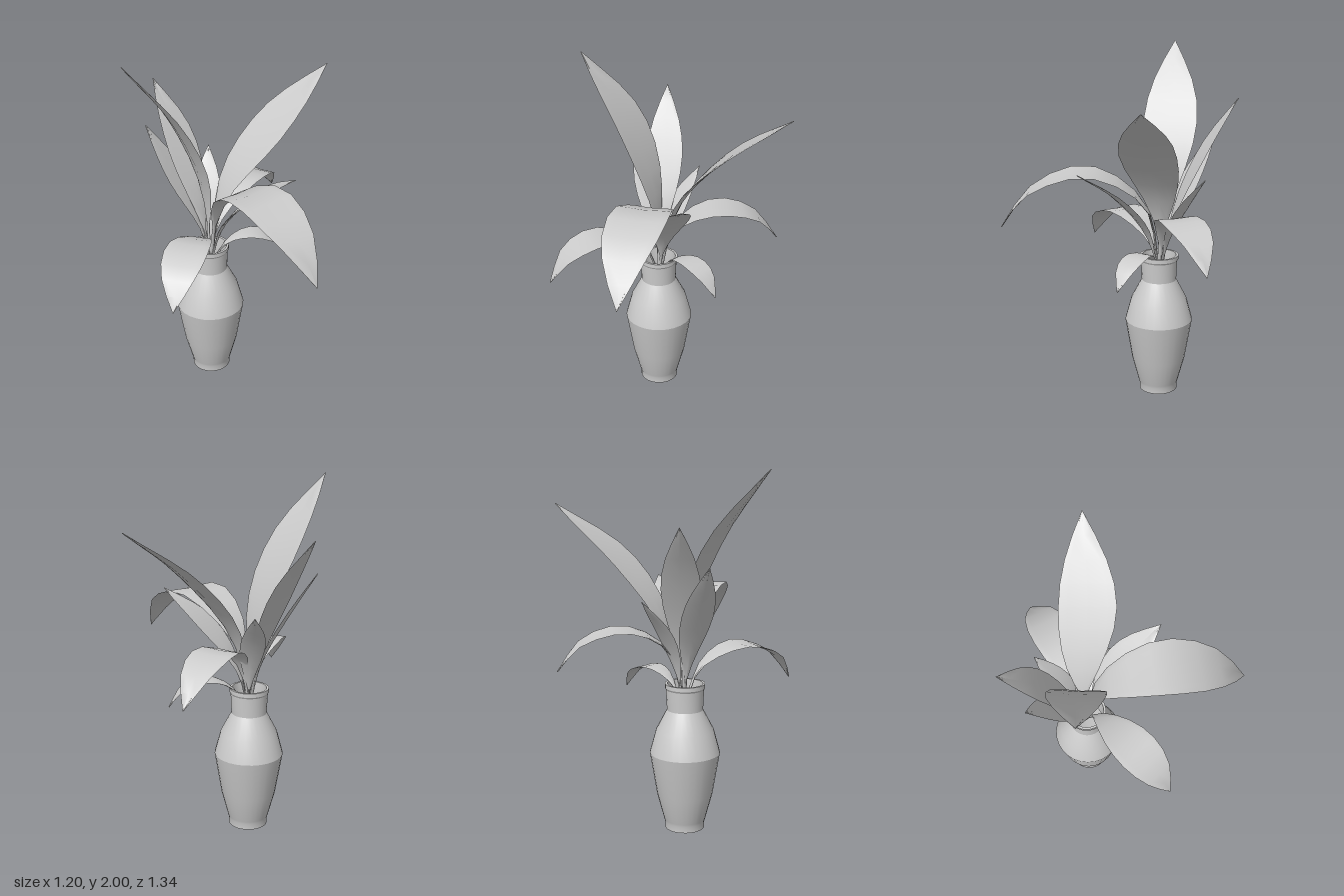
import * as THREE from 'three';
import { toCreasedNormals } from 'three/addons/utils/BufferGeometryUtils.js';

const material = new THREE.MeshStandardMaterial({ color: 0xcccccc });
const ROWS = 11, SIDES = 8;
const STEM = new THREE.Vector3(-0.195, 0.7, 0.01);

// Share of the widest part along a leaf: a slim stem, then a pointed oval blade
function outline(t) {
  const s = Math.max(0, (t - 0.15) / 0.85);
  return Math.max(0.01 + 0.08 * (1 - t), Math.sin(Math.PI * s ** 1.2));
}

// Sweeps a thin, slightly folded oval along a curve, keeping the blade level from side to side
function leafGeometry(curve, halfWidth) {
  const reach = curve.getPoint(1).sub(STEM).setY(0);
  const side = new THREE.Vector3(0, 1, 0).cross(reach).normalize();
  const points = [], index = [];
  for (let i = 0; i <= ROWS; i++) {
    const t = i / ROWS;
    const centre = curve.getPointAt(t);
    const normal = curve.getTangentAt(t).cross(side).normalize();
    const width = halfWidth * outline(t);
    for (let j = 0; j < SIDES; j++) {
      const angle = (j / SIDES) * Math.PI * 2;
      const across = width * Math.cos(angle);
      const lift = 0.007 * (1 - 0.6 * t) * Math.sin(angle) + 0.07 * Math.abs(across);
      points.push(centre.clone().addScaledVector(side, across).addScaledVector(normal, lift));
      if (i < ROWS) {
        const a = i * SIDES + j, b = i * SIDES + (j + 1) % SIDES;
        index.push(a, b, a + SIDES, b, b + SIDES, a + SIDES);
      }
    }
  }
  // Close the stem end and the tip
  const tip = ROWS * SIDES;
  for (let j = 1; j < SIDES - 1; j++) {
    index.push(0, j + 1, j, tip, tip + j, tip + j + 1);
  }
  const geometry = new THREE.BufferGeometry().setFromPoints(points);
  geometry.setIndex(index);
  return toCreasedNormals(geometry, 0.8);
}

// One leaf from the shared stem through the given points to its tip
function makeLeaf(name, halfWidth, ...path) {
  const curve = new THREE.CatmullRomCurve3([STEM, ...path.map(p => new THREE.Vector3(...p))]);
  const leaf = new THREE.Mesh(leafGeometry(curve, halfWidth), material);
  leaf.name = name;
  return leaf;
}

// Recessed foot, outside wall, rim and hollow inside in one turned profile
function makeVase() {
  const profile = [
    [0, 0.025], [0.095, 0.025], [0.1, 0], [0.11, 0], [0.11, 0.035], [0.115, 0.05],
    [0.155, 0.2], [0.195, 0.44], [0.16, 0.57], [0.1, 0.685],
    [0.105, 0.8], [0.111, 0.81], [0.111, 0.833], [0.098, 0.833],
    [0.088, 0.69], [0.17, 0.44], [0.1, 0.06], [0, 0.05],
  ].map(([r, y]) => new THREE.Vector2(r, y));
  const vase = new THREE.Mesh(toCreasedNormals(new THREE.LatheGeometry(profile, 28), 0.42), material);
  vase.name = 'vase';
  vase.position.set(-0.195, 0, 0.015);
  return vase;
}

export function createModel() {
  const model = new THREE.Group();
  model.name = 'plantInVase';

  const upright = new THREE.Group();
  upright.name = 'uprightLeaves';
  upright.add(
    makeLeaf('tallFrontLeaf', 0.155, [-0.22, 1.22, 0.03], [-0.34, 1.62, 0.14], [-0.5, 2, 0.37]),
    makeLeaf('tallBackLeaf', 0.155, [-0.14, 1.15, -0.08], [0.05, 1.49, -0.27], [0.27, 1.79, -0.59]),
    makeLeaf('tallRightLeaf', 0.105, [-0.27, 1.07, -0.02], [-0.43, 1.45, -0.09], [-0.6, 1.73, -0.15]),
    makeLeaf('slimRightLeaf', 0.09, [-0.26, 0.98, 0.01], [-0.42, 1.28, 0.02], [-0.57, 1.52, 0.02]),
    makeLeaf('slimLeftLeaf', 0.105, [-0.11, 0.97, 0.01], [0.1, 1.21, 0.01], [0.32, 1.36, 0.02]),
    makeLeaf('smallBackLeaf', 0.07, [-0.22, 0.96, -0.05], [-0.27, 1.15, -0.14], [-0.32, 1.32, -0.265]),
  );

  const drooping = new THREE.Group();
  drooping.name = 'droopingLeaves';
  drooping.add(
    makeLeaf('archingLeftLeaf', 0.16, [-0.11, 1.13, 0.04], [0.17, 1.315, 0.2], [0.46, 1.2, 0.37], [0.6, 1, 0.44]),
    makeLeaf('droopingFrontLeaf', 0.12, [-0.18, 0.92, 0.11], [-0.16, 1.02, 0.34], [-0.13, 0.95, 0.56], [-0.11, 0.8, 0.67]),
    makeLeaf('droopingBackLeaf', 0.12, [-0.17, 1.02, -0.08], [-0.13, 1.13, -0.3], [-0.1, 1.07, -0.54], [-0.08, 0.92, -0.67]),
    makeLeaf('smallDroopingLeaf', 0.07, [-0.1, 0.85, -0.05], [0.01, 0.89, -0.11], [0.13, 0.845, -0.175], [0.2, 0.74, -0.21]),
  );

  model.add(makeVase(), upright, drooping);
  return model;
}
